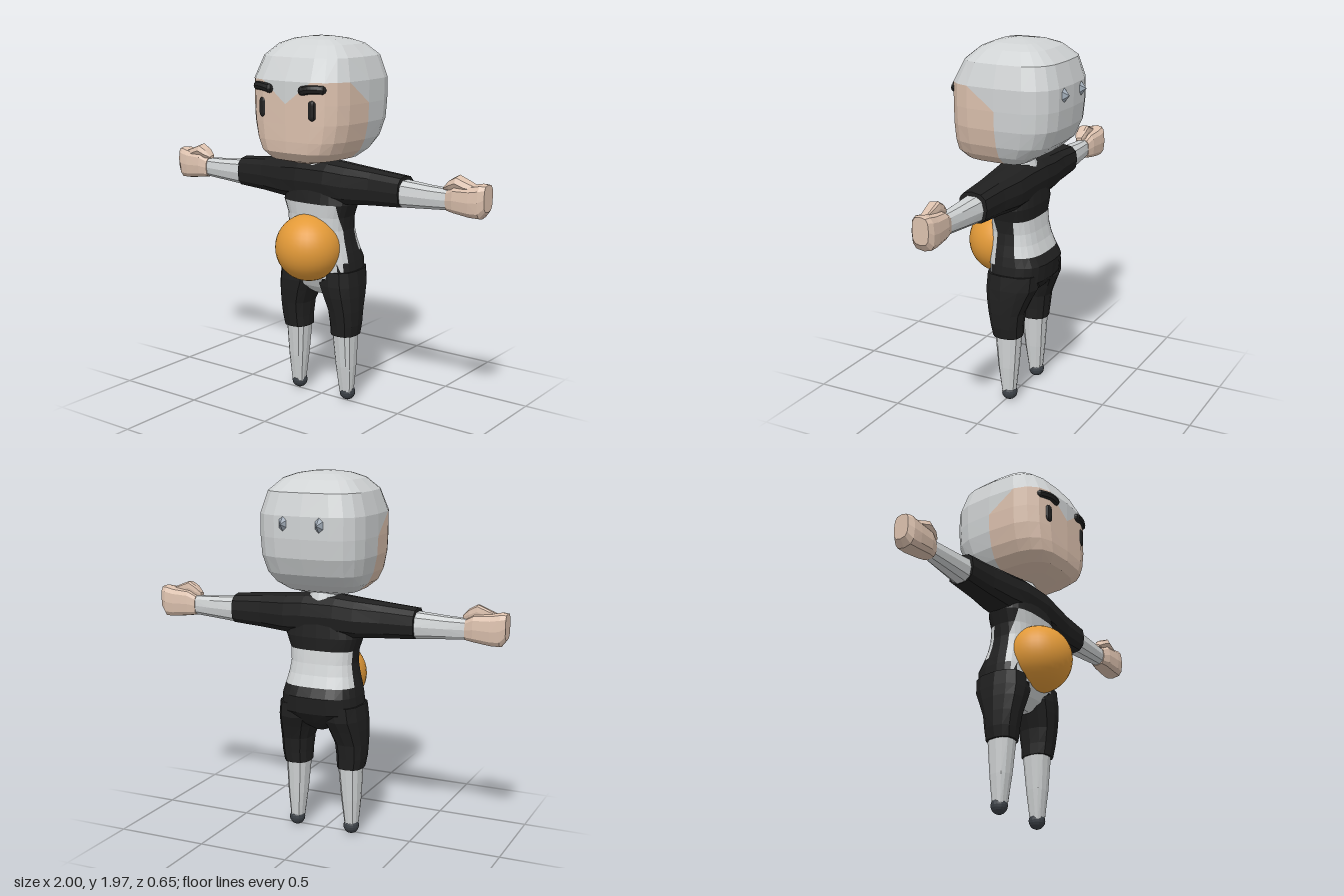
import * as THREE from 'three';

const flat = (name, color) => {
  const m = new THREE.MeshStandardMaterial({ color, flatShading: true });
  m.name = name;
  return m;
};

// Rings [t, centreX, halfWidth, zFront, zBack] joined along y; pick(centroid) chooses a material index
function loft(rings, n, p, pick = () => 0) {
  const bend = v => Math.sign(v) * Math.abs(v) ** p;
  const pts = rings.map(([t, cx, w, zf, zb]) => Array.from({ length: n }, (_, j) => {
    const a = j / n * Math.PI * 2, c = bend(Math.cos(a)), s = bend(Math.sin(a));
    return new THREE.Vector3(cx + w * s, t, c > 0 ? zf * c : -zb * c);
  }));
  const buckets = [[], []];
  const tri = (a, b, c) => {
    const m = a.clone().add(b).add(c).divideScalar(3);
    buckets[pick(m)].push(...a.toArray(), ...b.toArray(), ...c.toArray());
  };
  for (let i = 0; i < rings.length - 1; i++) for (let j = 0; j < n; j++) {
    const k = (j + 1) % n;
    const a = pts[i][j], b = pts[i][k], c = pts[i + 1][k], d = pts[i + 1][j];
    if (j % (n / 4) < n / 8) { tri(a, b, c); tri(a, c, d); }
    else { tri(a, b, d); tri(b, c, d); }
  }
  // End caps
  const mid = i => new THREE.Vector3(rings[i][1], rings[i][0], (rings[i][3] + rings[i][4]) / 2);
  const last = rings.length - 1, lo = mid(0), hi = mid(last);
  for (let j = 0; j < n; j++) {
    const k = (j + 1) % n;
    tri(lo, pts[0][k], pts[0][j]);
    tri(hi, pts[last][j], pts[last][k]);
  }
  const g = new THREE.BufferGeometry();
  g.setAttribute('position', new THREE.Float32BufferAttribute([...buckets[0], ...buckets[1]], 3));
  const n0 = buckets[0].length / 3;
  g.addGroup(0, n0, 0);
  if (buckets[1].length) g.addGroup(n0, buckets[1].length / 3, 1);
  g.computeVertexNormals();
  return g;
}

export function createModel() {
  const model = new THREE.Group();
  const pale = flat('pale grey', 0xd0d3d4), skin = flat('skin', 0xdcc1ae), black = flat('black', 0x202020);
  const slate = flat('slate', 0x3c4147), blue = flat('blue grey', 0xa3aeba);
  const orange = new THREE.MeshStandardMaterial({ color: 0xe39a38 });
  orange.name = 'orange';
  const add = (name, geo, mat, x = 0, y = 0, z = 0) => {
    const m = new THREE.Mesh(geo, mat);
    m.name = name;
    m.position.set(x, y, z);
    model.add(m);
    return m;
  };

  // Head: hair with a pointed hairline, face in front
  const isFace = m => {
    if (m.z < 0.005 || m.y > 1.755) return 0;
    return m.y > 1.7 && (Math.abs(m.x) < 0.07 || m.z < 0.1) ? 0 : 1;
  };
  add('head', loft([
    [1.325, 0, 0.10, 0.20, -0.04], [1.345, 0, 0.19, 0.27, -0.10], [1.39, 0, 0.245, 0.305, -0.18],
    [1.45, 0, 0.275, 0.31, -0.25], [1.54, 0, 0.295, 0.31, -0.29], [1.64, 0, 0.30, 0.31, -0.30],
    [1.755, 0, 0.30, 0.31, -0.30], [1.87, 0, 0.265, 0.25, -0.265], [1.93, 0, 0.20, 0.18, -0.19],
    [1.955, 0, 0.13, 0.12, -0.12], [1.968, 0, 0.04, 0.04, -0.04],
  ], 20, 0.58, isFace), [pale, skin]);
  add('neck', new THREE.CylinderGeometry(0.07, 0.09, 0.06, 12), pale, 0, 1.325, 0);

  // Torso: pale belly and back band between black sides
  const isPale = m => {
    if (m.y > 1.1) return 0;
    if (m.y < 0.66) return Math.abs(m.x) < 0.09 && m.z > -0.02 ? 1 : 0;
    if (m.z > 0.03 + 0.35 * Math.abs(m.y - 0.9)) return 1;
    return m.z < -0.045 && m.y > 0.83 && m.y < 1.05 ? 1 : 0;
  };
  add('torso', loft([
    [0.59, 0, 0.04, 0.03, -0.08], [0.64, 0, 0.15, 0.09, -0.14], [0.70, 0, 0.225, 0.12, -0.185],
    [0.79, 0, 0.215, 0.125, -0.195], [0.84, 0, 0.205, 0.125, -0.165], [0.90, 0, 0.19, 0.125, -0.14],
    [0.96, 0, 0.18, 0.125, -0.125], [1.03, 0, 0.185, 0.125, -0.115], [1.10, 0, 0.21, 0.13, -0.12],
    [1.20, 0, 0.19, 0.11, -0.11],
  ], 24, 0.7, isPale), [black, pale]);
  add('bellyBall', new THREE.SphereGeometry(0.18, 32, 20), orange, 0, 0.86, 0.115);

  // Shirt top: shoulders and both sleeves along x
  const half = [[0.525, -1.203, 0.082, 0.075, -0.085], [0.35, -1.205, 0.095, 0.085, -0.095],
    [0.20, -1.205, 0.107, 0.11, -0.115], [0.09, -1.212, 0.11, 0.125, -0.12]];
  const shirt = [...half.map(([t, ...r]) => [-t, ...r]), ...half.slice().reverse()];
  add('shirtSleeves', loft(shirt, 12, 0.75), black).rotation.z = -Math.PI / 2;

  for (const s of [1, -1]) {
    const side = s > 0 ? 'left' : 'right';
    // Forearm, fist and thumb
    const limb = (name, rings, n, p, mat) => {
      add(side + name, loft(rings.map(([t, cx, ...r]) => [t, cx * s, ...r]), n, p), mat).rotation.z = -s * Math.PI / 2;
    };
    limb('Forearm', [[0.5, -1.195, 0.073, 0.065, -0.07], [0.68, -1.195, 0.06, 0.055, -0.05],
      [0.81, -1.197, 0.053, 0.045, -0.035]], 10, 0.8, pale);
    limb('Hand', [[0.785, -1.195, 0.055, 0.05, -0.04], [0.83, -1.205, 0.072, 0.066, -0.055],
      [0.92, -1.203, 0.082, 0.07, -0.06], [0.97, -1.208, 0.088, 0.065, -0.06],
      [0.998, -1.225, 0.068, 0.045, -0.045]], 12, 0.65, skin);
    limb('Thumb', [[0.765, -1.255, 0.01, 0.035, 0.0], [0.80, -1.273, 0.03, 0.055, -0.015],
      [0.84, -1.29, 0.036, 0.06, -0.015], [0.89, -1.272, 0.034, 0.055, -0.01],
      [0.94, -1.265, 0.02, 0.045, -0.005]], 8, 0.8, skin);

    // Trouser leg, lower leg and foot
    add(side + 'TrouserLeg', loft([[0.38, s * 0.157, 0.073, 0.075, -0.085], [0.44, s * 0.162, 0.079, 0.085, -0.09],
      [0.52, s * 0.16, 0.085, 0.1, -0.10], [0.60, s * 0.145, 0.1, 0.115, -0.135],
      [0.66, s * 0.13, 0.112, 0.12, -0.165], [0.74, s * 0.125, 0.107, 0.115, -0.17]], 12, 0.8), black);
    add(side + 'LowerLeg', loft([[0.045, s * 0.163, 0.036, 0.022, -0.05], [0.20, s * 0.16, 0.052, 0.045, -0.065],
      [0.40, s * 0.155, 0.065, 0.065, -0.08]], 12, 0.8), pale);
    add(side + 'Foot', new THREE.SphereGeometry(0.043, 14, 10), slate, s * 0.164, 0.043, -0.015);

    // Eye and curved brow
    const eye = add(side + 'Eye', new THREE.CapsuleGeometry(0.023, 0.06, 4, 10), black, s * 0.155, 1.615, 0.292);
    eye.scale.z = 0.7;
    const brow = new THREE.CatmullRomCurve3([[0.105, 1.713, 0.303], [0.15, 1.721, 0.297], [0.205, 1.72, 0.272]]
      .map(([x, y, z]) => new THREE.Vector3(s * x, y, z)));
    add(side + 'Brow', new THREE.TubeGeometry(brow, 8, 0.024, 8), black);
    for (const t of [0, 1]) {
      const e = brow.getPoint(t);
      add(side + 'BrowTip', new THREE.SphereGeometry(0.024, 8, 6), black, e.x, e.y, e.z);
    }

    // Small pointed tuft on the back of the head
    const tuft = add(side + 'Tuft', new THREE.ConeGeometry(0.075, 0.07, 6), blue, s * 0.1, 1.715, -0.29);
    tuft.rotation.x = -Math.PI / 2;
    tuft.scale.set(0.75, 1, 1.15);
  }
  return model;
}
